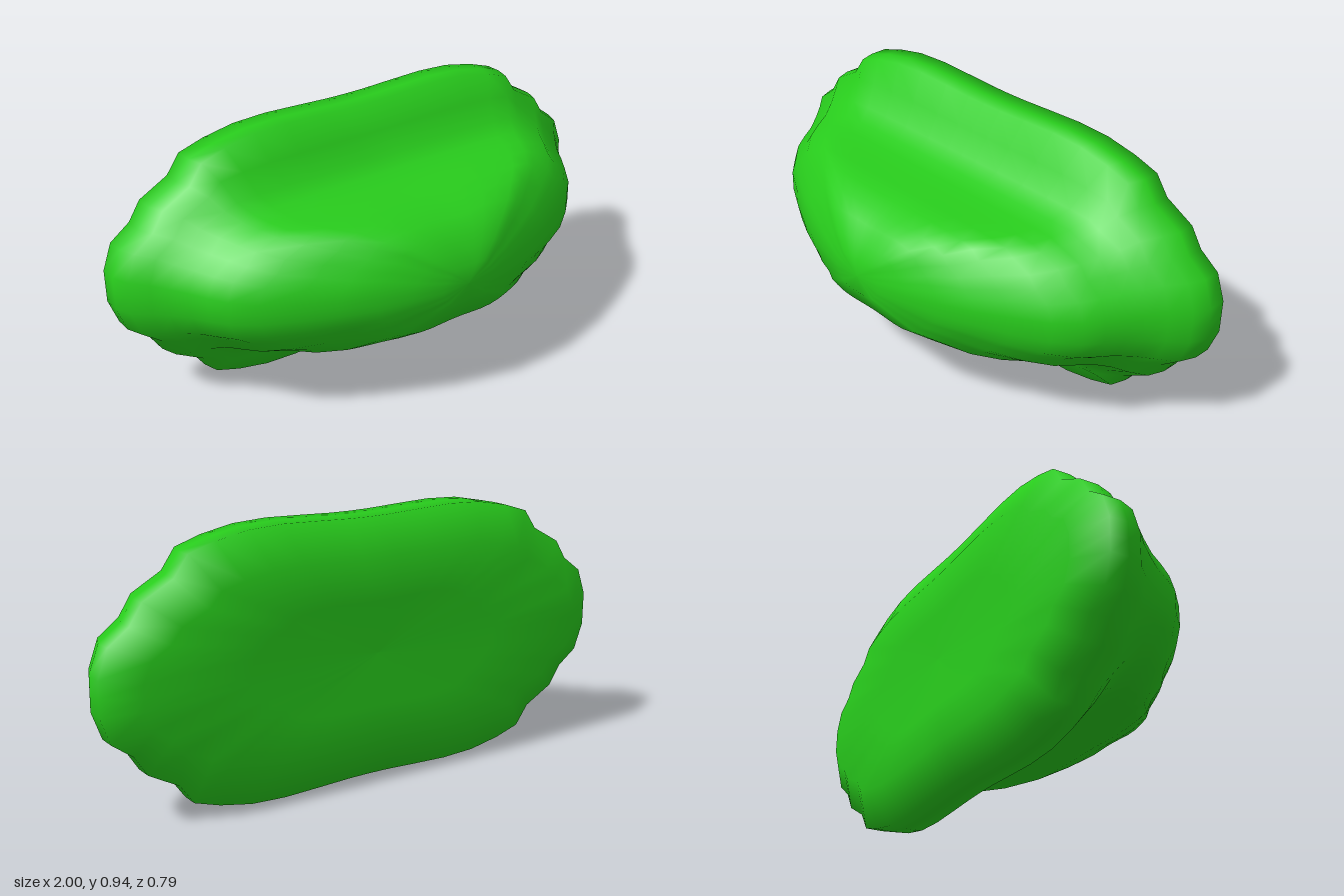
import * as THREE from 'three';

const CENTER_Y = 0.47;

// One quarter of the rim outline (x, height above the middle), end to centre
const QUARTER = [
  [1, 0], [1, 0.06], [0.965, 0.155], [0.89, 0.21], [0.845, 0.28], [0.735, 0.34], [0.685, 0.41],
  [0.59, 0.44], [0.47, 0.463], [0.34, 0.469], [0.2, 0.464], [0.08, 0.459], [0, 0.458],
];

// Cross-sections from back to front: z, width scale, height scale, height limit
const SECTIONS = [
  [-0.385, 0, 0, 1],
  [-0.39, 0.5, 0.4, 1],
  [-0.396, 0.88, 0.725, 1],
  [-0.33, 1, 1, 1],
  [-0.265, 1, 1, 1],
  [-0.205, 0.975, 1, 1],
  [-0.15, 0.92, 0.94, 0.385],
  [-0.1, 0.88, 0.85, 0.298],
  [-0.04, 0.835, 0.78, 0.262],
  [0.02, 0.8, 0.74, 0.251],
  [0.08, 0.76, 0.7, 0.243],
  [0.15, 0.685, 0.62, 0.243],
  [0.22, 0.565, 0.54, 0.247],
  [0.28, 0.45, 0.435, 1],
  [0.33, 0.335, 0.373, 1],
  [0.367, 0.22, 0.25, 1],
  [0.395, 0.11, 0.145, 1],
  [0.397, 0, 0, 1],
];

// Mirrors the quarter into a closed outline, anticlockwise from +x
function fullOutline() {
  const half = [...QUARTER, ...QUARTER.slice(0, -1).reverse().map(([x, y]) => [-x, y])];
  return [...half, ...half.slice(1, -1).reverse().map(([x, y]) => [x, -y])];
}

// Rounds a height off softly where it reaches the limit
const limitHeight = (y, limit) => y / Math.pow(1 + Math.pow(Math.abs(y) / limit, 8), 1 / 8);

// Joins the scaled outlines into one closed skin
function loft(sections) {
  const outline = fullOutline();
  const sides = outline.length;
  const positions = [], index = [];
  sections.forEach(([z, width, height, limit], i) => {
    outline.forEach(([x, y], j) => {
      positions.push(x * width, CENTER_Y + limitHeight(y * height, limit), z);
      if (i === sections.length - 1) return;
      const a = i * sides + j, b = i * sides + (j + 1) % sides;
      const c = a + sides, d = b + sides;
      if (width > 0) index.push(a, b, c);
      if (sections[i + 1][1] > 0) index.push(b, d, c);
    });
  });
  const geometry = new THREE.BufferGeometry();
  geometry.setAttribute('position', new THREE.Float32BufferAttribute(positions, 3));
  geometry.setIndex(index);
  geometry.computeVertexNormals();
  return geometry;
}

export function createModel() {
  const group = new THREE.Group();
  const green = new THREE.MeshStandardMaterial({ color: 0x28cc1c });
  // Domed body flaring into a broad, flat-backed rim
  const body = new THREE.Mesh(loft(SECTIONS), green);
  body.name = 'flaredBody';
  group.add(body);
  return group;
}
